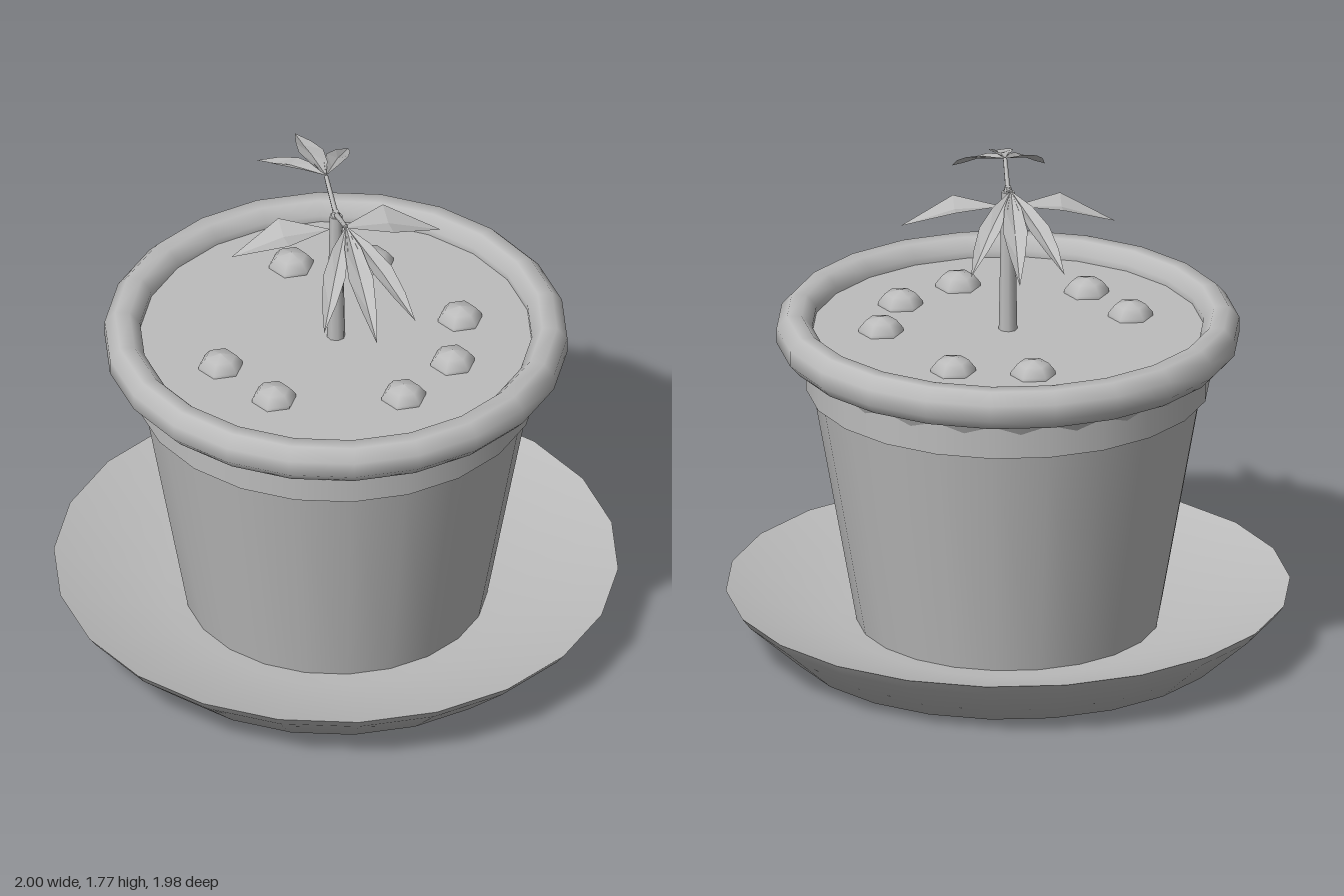
import * as THREE from 'three';

const SIDES = 22;

export function createModel() {
  const model = new THREE.Group();
  model.name = 'pottedSeedling';
  const grey = new THREE.MeshStandardMaterial({ color: 0xbcbcbc, side: THREE.DoubleSide });
  grey.name = 'plain grey';

  const add = (geometry, name, parent = model) => {
    const mesh = new THREE.Mesh(geometry, grey);
    mesh.name = name;
    parent.add(mesh);
    return mesh;
  };
  const group = (name) => {
    const g = new THREE.Group();
    g.name = name;
    model.add(g);
    return g;
  };
  const turned = (profile, name, parent, turn = 0) => add(new THREE.LatheGeometry(
    profile.map(([r, y]) => new THREE.Vector2(r, y)), SIDES, Math.PI / 2 + turn), name, parent);

  // Saucer: rounded underside and a shallow dish
  const saucer = group('saucer');
  turned([[0, 0], [0.78, 0], [0.97, 0.17], [1, 0.21]], 'saucerUnderside', saucer);
  turned([[1, 0.21], [0.6, 0.09], [0, 0.09]], 'saucerDish', saucer);

  // Pot: tapered body, collar, and a skirt that scallops through the collar
  const pot = group('pot');
  turned([[0.535, 0.08], [0.692, 0.97]], 'potBody', pot);
  turned([[0.66, 0.965], [0.715, 0.965]], 'collarLedge', pot);
  turned([[0.715, 0.965], [0.717, 1.13]], 'collar', pot);
  turned([[0.7, 1.035], [0.735, 1.11]], 'scallopedSkirt', pot, Math.PI / SIDES);

  // Rolled rim: eight-sided ring section
  const rim = [];
  for (let i = 0; i <= 8; i++) {
    const a = (i * 45 - 112.5) * Math.PI / 180;
    rim.push([0.757 + 0.068 * Math.cos(a), 1.175 + 0.076 * Math.sin(a)]);
  }
  turned(rim, 'rim', pot);

  // Soil and pebbles
  const soil = new THREE.CircleGeometry(0.73, SIDES);
  soil.rotateX(-Math.PI / 2);
  add(soil, 'soil').position.y = 1.18;
  const pebbles = group('pebbles');
  const dome = new THREE.LatheGeometry(
    [[0.08, -0.01], [0.08, 0.012], [0.055, 0.043], [0, 0.058]].map(([r, y]) => new THREE.Vector2(r, y)),
    6, Math.PI / 2);
  const spots = [[-0.06, -0.45], [0.22, -0.4], [0.45, 0], [0.365, 0.255],
    [0.15, 0.42], [-0.3, 0.33], [-0.44, 0.095]];
  for (const [x, z] of spots) add(dome, 'pebble', pebbles).position.set(x, 1.18, z);

  // Stem and the two branches
  const plant = group('plant');
  const stem = new THREE.CylinderGeometry(0.023, 0.033, 0.52, 8);
  add(stem, 'stem', plant).position.y = 1.44;
  const up = new THREE.Vector3(0, 1, 0);
  for (const s of [1, -1]) {
    const from = new THREE.Vector3(0, 1.705, -0.004 * s);
    const to = new THREE.Vector3(0, 1.762, 0.158 * s);
    const dir = to.clone().sub(from);
    const branch = add(new THREE.CylinderGeometry(0.008, 0.01, dir.length(), 6), 'branch', plant);
    branch.position.copy(from).add(to).multiplyScalar(0.5);
    branch.quaternion.setFromUnitVectors(up, dir.normalize());
  }
  const neck = new THREE.CylinderGeometry(0.012, 0.02, 0.03, 6);
  add(neck, 'stemTip', plant).position.y = 1.705;

  // Folded leaf: stations of [distance along, height, half width]; midrib sits lower
  function leaf(x, z, angle, stations, fold, name) {
    const dx = Math.sin(angle), dz = Math.cos(angle);
    const pos = [], index = [];
    stations.forEach(([d, y, w], i) => {
      for (const k of [-1, 0, 1]) {
        pos.push(x + dx * d + dz * w * k, k || !w ? y : y - fold, z + dz * d - dx * w * k);
      }
      if (!i) return;
      const b = i * 3, a = b - 3;
      for (const c of [0, 1]) index.push(a + c, b + c, b + c + 1, a + c, b + c + 1, a + c + 1);
    });
    const g = new THREE.BufferGeometry();
    g.setAttribute('position', new THREE.Float32BufferAttribute(pos, 3));
    g.setIndex(index);
    const flat = g.toNonIndexed();
    flat.computeVertexNormals();
    add(flat, name, plant);
  }

  const low = [[0, 1.645, 0], [0.17, 1.658, 0.088], [0.36, 1.58, 0]];
  const middle = [[0, 1.765, 0], [0.11, 1.745, 0.03], [0.24, 1.705, 0.044], [0.36, 1.66, 0.028], [0.5, 1.6, 0]];
  const outer = [[0, 1.765, 0], [0.11, 1.74, 0.028], [0.22, 1.7, 0.04], [0.32, 1.65, 0.026], [0.415, 1.592, 0]];
  for (const s of [1, -1]) {
    leaf(0.02 * s, 0, s * Math.PI / 2, low, 0.02, 'lowLeaf');
    const back = s > 0 ? 0 : Math.PI;
    leaf(0, 0.158 * s, back, middle, 0.014, 'middleLeaf');
    for (const t of [1, -1]) leaf(0, 0.158 * s, back + t * 0.41, outer, 0.014, 'outerLeaf');
  }
  return model;
}
